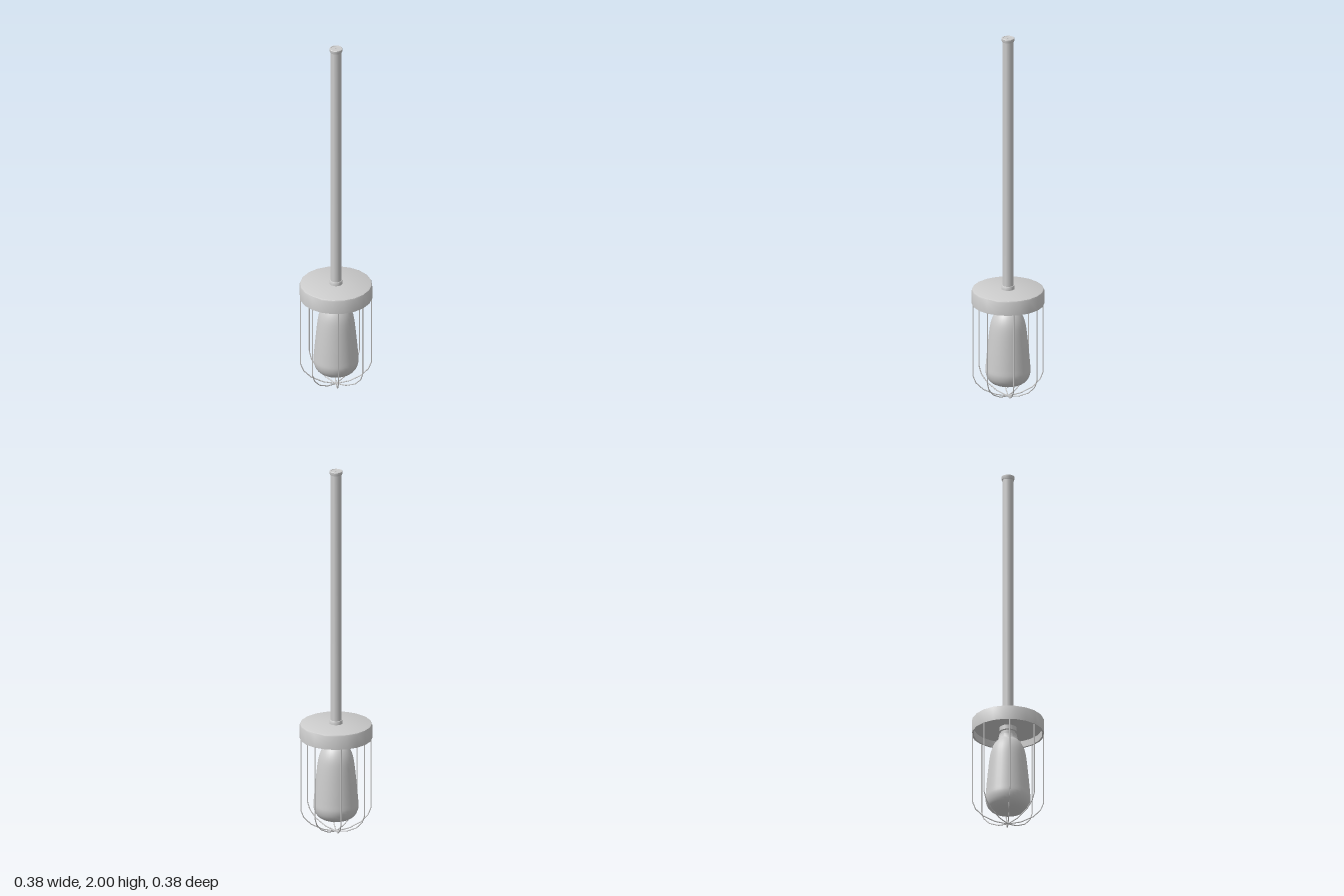
import * as THREE from 'three';
import { toCreasedNormals } from 'three/addons/utils/BufferGeometryUtils.js';

const material = new THREE.MeshStandardMaterial({ color: 0xcccccc, side: THREE.DoubleSide });

// Revolve [radius, height] points, keeping sharp edges sharp
function lathe(name, points, sides, crease = 0.6) {
  const profile = points.map(([r, y]) => new THREE.Vector2(r, y));
  const geometry = toCreasedNormals(new THREE.LatheGeometry(profile, sides), crease);
  const mesh = new THREE.Mesh(geometry, material);
  mesh.name = name;
  return mesh;
}

export function createModel() {
  const group = new THREE.Group();
  group.name = 'cagedPendantLamp';

  // Shallow cap, open underneath
  group.add(lathe('cap', [
    [0, 0.555], [0.178, 0.555], [0.18, 0.52], [0.19, 0.52],
    [0.19, 0.592], [0.187, 0.598], [0.181, 0.601], [0, 0.601],
  ], 20));

  // Long hanging stem with a collar at each end
  group.add(lathe('stem', [[0.029, 0.6], [0.029, 1.99]], 24));
  group.add(lathe('lowerCollar', [
    [0.035, 0.6], [0.035, 0.612], [0.032, 0.62], [0.029, 0.621],
  ], 24));
  group.add(lathe('upperCollar', [
    [0.029, 1.979], [0.032, 1.98], [0.034, 1.986], [0.034, 1.998],
    [0.032, 2], [0.027, 2], [0.026, 1.998], [0.003, 1.998], [0.003, 1.99], [0, 1.99],
  ], 24));

  // Socket between cap and bulb
  group.add(lathe('socket', [
    [0.036, 0.495], [0.046, 0.5], [0.046, 0.516], [0.038, 0.519],
    [0.038, 0.528], [0.045, 0.531], [0.045, 0.557],
  ], 24));

  // Long bulb, widest near its rounded bottom
  const outline = new THREE.SplineCurve([
    [0, 0.066], [0.04, 0.069], [0.08, 0.081], [0.106, 0.104], [0.118, 0.14],
    [0.116, 0.18], [0.107, 0.28], [0.096, 0.38], [0.085, 0.43],
    [0.068, 0.465], [0.053, 0.482], [0.048, 0.505],
  ].map(([r, y]) => new THREE.Vector2(r, y)));
  const bulbPoints = outline.getPoints(32).map((p) => [Math.max(p.x, 0), p.y]);
  group.add(lathe('bulb', bulbPoints, 32, 1.2));

  // Cage of eight thin wires meeting at the bottom
  const path = new THREE.CurvePath();
  const bends = [
    [0.185, 0.53], [0.185, 0.125], [0.17, 0.086], [0.131, 0.047], [0.068, 0.016], [0, 0.003],
  ].map(([x, y]) => new THREE.Vector3(x, y, 0));
  for (let i = 1; i < bends.length; i++) path.add(new THREE.LineCurve3(bends[i - 1], bends[i]));
  const wireGeometry = new THREE.TubeGeometry(path, 60, 0.003, 6);
  const cage = new THREE.Group();
  cage.name = 'cage';
  for (let i = 0; i < 8; i++) {
    const wire = new THREE.Mesh(wireGeometry, material);
    wire.name = 'cageWire';
    wire.rotation.y = (i * Math.PI) / 4;
    cage.add(wire);
  }
  group.add(cage);

  return group;
}
